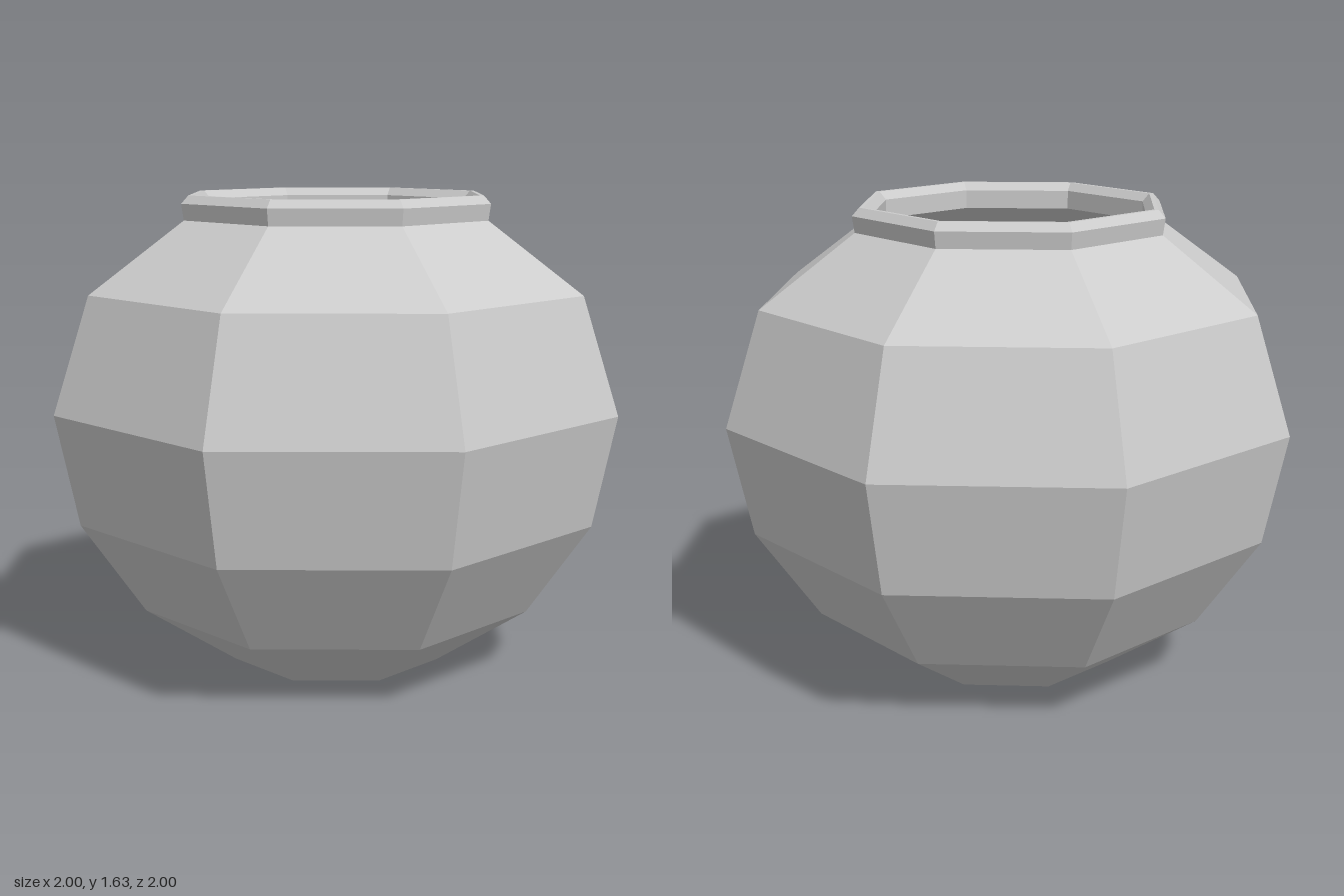
import * as THREE from 'three';

const SIDES = 8;

// Revolve a list of [radius, height] pairs into a faceted octagonal shell
function lathe(name, profile, material) {
  const points = profile.map(([r, y]) => new THREE.Vector2(r, y));
  const mesh = new THREE.Mesh(new THREE.LatheGeometry(points, SIDES), material);
  mesh.name = name;
  return mesh;
}

export function createModel() {
  const group = new THREE.Group();
  group.name = 'pot';
  const clay = new THREE.MeshStandardMaterial({ color: 0xcccccc, flatShading: true });
  const violet = new THREE.MeshStandardMaterial({ color: 0x7466b4, flatShading: true });

  // Outer wall with the flat base
  group.add(lathe('outerWall', [
    [0, 0], [0.385, 0], [0.707, 0.22], [0.924, 0.545],
    [1, 0.925], [0.873, 1.315], [0.545, 1.55],
  ], clay));

  // Bevelled lip around the mouth
  group.add(lathe('rim', [
    [0.545, 1.55], [0.553, 1.605], [0.528, 1.632], [0.513, 1.632], [0.488, 1.605],
  ], clay));

  // Inner wall, running down from the mouth to the inner floor
  group.add(lathe('innerWall', [
    [0.488, 1.605], [0.488, 1.54], [0.84, 1.285], [0.955, 0.925],
    [0.885, 0.56], [0.675, 0.25], [0.37, 0.04], [0, 0.04],
  ], clay));

  // Liquid surface filling the pot to just below its widest ring
  const liquid = new THREE.Mesh(new THREE.CircleGeometry(0.94, SIDES), violet);
  liquid.name = 'liquid';
  liquid.rotation.x = -Math.PI / 2;
  liquid.position.y = 0.85;
  group.add(liquid);

  return group;
}
